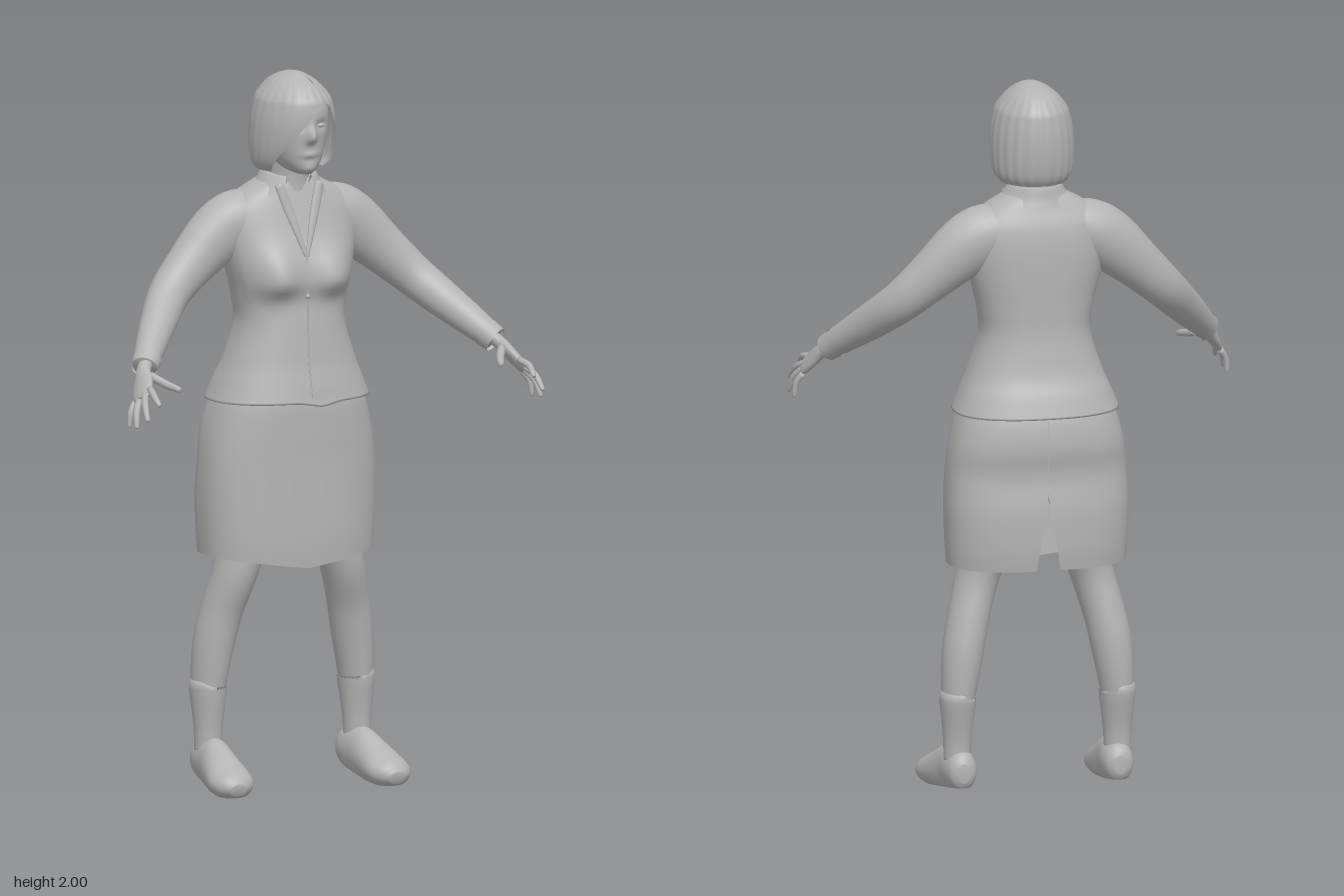
import * as THREE from 'three';

const grey = new THREE.MeshStandardMaterial({ color: 0xb4b4b4, side: THREE.DoubleSide });
grey.name = 'plain grey';
const V = (x, y, z) => new THREE.Vector3(x, y, z);
const bump = (x, y, cx, cy, rx, ry) => Math.exp(-(((x - cx) / rx) ** 2) - ((y - cy) / ry) ** 2);

// Smoothly interpolate every column of a table of sections
function smooth(rows, steps) {
  const out = [], at = i => rows[Math.min(Math.max(i, 0), rows.length - 1)];
  for (let i = 0; i < rows.length - 1; i++)
    for (let k = 0; k < steps; k++) {
      const t = k / steps;
      out.push(rows[i].map((b, c) => {
        const a = at(i - 1)[c], d = at(i + 1)[c], e = at(i + 2)[c];
        return b + 0.5 * t * (d - a + t * (2 * a - 5 * b + 4 * d - e + t * (3 * (b - d) + e - a)));
      }));
    }
  out.push(rows[rows.length - 1]);
  return out;
}

// Skin a list of rings; closed rings wrap round, caps close the ends
function skin(rings, closed = true, caps = true) {
  const n = rings[0].length, pos = [], idx = [];
  rings.forEach(r => r.forEach(p => pos.push(p.x, p.y, p.z)));
  for (let i = 0; i < rings.length - 1; i++)
    for (let j = 0; j < (closed ? n : n - 1); j++) {
      const k = (j + 1) % n, a = i * n + j, b = i * n + k;
      idx.push(a, b, b + n, a, b + n, a + n);
    }
  if (caps) [0, rings.length - 1].forEach((r, end) => {
    const c = V(0, 0, 0);
    rings[r].forEach(p => c.addScaledVector(p, 1 / n));
    const ci = pos.length / 3;
    pos.push(c.x, c.y, c.z);
    for (let j = 0; j < n; j++) {
      const a = r * n + j, b = r * n + (j + 1) % n;
      end ? idx.push(ci, a, b) : idx.push(ci, b, a);
    }
  });
  const g = new THREE.BufferGeometry();
  g.setAttribute('position', new THREE.Float32BufferAttribute(pos, 3));
  g.setIndex(idx);
  g.computeVertexNormals();
  return g;
}

// Horizontal ring; angle runs from the front towards +x
function ring([y, hw, zf, zb], n, p = 2, a0 = 0, a1 = Math.PI * 2, rule = null) {
  const closed = a1 - a0 > 6.283, pts = [];
  const pw = v => Math.sign(v) * Math.abs(v) ** (2 / p);
  for (let j = 0; j < n; j++) {
    const t = a0 + (a1 - a0) * j / (closed ? n : n - 1);
    const v = V(hw * pw(Math.sin(t)), y, (zf + zb) / 2 + (zf - zb) / 2 * pw(Math.cos(t)));
    if (rule) rule(v, t);
    pts.push(v);
  }
  return pts;
}

// Limb along rows of [x, y, z, radius along ref, radius across]
function limb(rows, s, ref, { n = 20, steps = 4, caps = true, rule = null } = {}) {
  const r = smooth(rows, steps), P = r.map(q => V(q[0] * s, q[1], q[2]));
  const rf = V(ref[0] * s, ref[1], ref[2]);
  return skin(r.map((q, i) => {
    const T = P[Math.min(i + 1, r.length - 1)].clone().sub(P[Math.max(i - 1, 0)]).normalize();
    const U = rf.clone().addScaledVector(T, -rf.dot(T)).normalize(), W = T.clone().cross(U);
    return Array.from({ length: n }, (_, j) => {
      const t = j / n * Math.PI * 2;
      const v = P[i].clone().addScaledVector(U, q[3] * Math.cos(t)).addScaledVector(W, q[4] * Math.sin(t));
      if (rule) rule(v);
      return v;
    });
  }), true, caps);
}

export function createModel() {
  const root = new THREE.Group();
  const add = (name, g) => {
    const m = new THREE.Mesh(g, grey);
    m.name = name;
    root.add(m);
    return m;
  };

  // Jacket body: [y, half width, front z, back z]
  const jacket = smooth([
    [1.085, 0.232, 0.055, -0.28], [1.14, 0.21, 0.045, -0.262], [1.2, 0.185, 0.035, -0.238],
    [1.3, 0.155, 0.025, -0.222], [1.38, 0.163, 0.015, -0.22], [1.47, 0.185, 0.012, -0.222],
    [1.55, 0.2, -0.005, -0.22], [1.61, 0.195, -0.02, -0.212], [1.655, 0.155, -0.032, -0.196],
    [1.685, 0.105, -0.04, -0.185], [1.70, 0.07, -0.045, -0.178]], 6);
  add('jacket', skin(jacket.map(r => ring(r, 72, 2.4, 0, Math.PI * 2, v => {
    if (v.z < -0.06) return;
    const ry = v.y < 1.42 ? 0.04 : 0.09;
    v.z += 0.045 * (bump(v.x, v.y, 0.085, 1.42, 0.065, ry) + bump(v.x, v.y, -0.085, 1.42, 0.065, ry));
    if (v.y < 1.11) v.y -= 0.012 * bump(v.x, 0, 0.03, 0, 0.04, 1);
  }))));

  // Skirt: open sheet with a slit at the back
  const skirt = smooth([
    [0.655, 0.25, 0.03, -0.272], [0.72, 0.254, 0.034, -0.279], [0.82, 0.257, 0.034, -0.279],
    [0.92, 0.252, 0.034, -0.268], [1.0, 0.242, 0.036, -0.278], [1.08, 0.22, 0.036, -0.268],
    [1.14, 0.19, 0.025, -0.24]], 5);
  add('skirt', skin(skirt.map(r => {
    const gap = 0.001 + 0.08 * Math.max(0, (0.83 - r[0]) / 0.175), w = Math.max(0, (0.8 - r[0]) / 0.145);
    return ring(r, 73, 2.5, gap - Math.PI, Math.PI - gap, v => {
      if (v.z > -0.12) v.y -= 0.035 * w * Math.max(0, 1 - Math.abs(v.x) / 0.25);
    });
  }), false, false));

  // Neck, collar and lapels
  add('neck', skin(smooth([[1.62, 0.075, -0.03, -0.18], [1.68, 0.058, -0.035, -0.172],
    [1.74, 0.054, -0.03, -0.165], [1.8, 0.056, -0.02, -0.165]], 3).map(r => ring(r, 28))));
  add('collar', skin(smooth([[1.665, 0.118, -0.008, -0.2], [1.69, 0.092, -0.01, -0.192],
    [1.722, 0.07, -0.02, -0.186], [1.70, 0.062, -0.028, -0.178]], 3)
    .map(r => ring(r, 40, 2, 0.55, Math.PI * 2 - 0.55, (v, t) => { v.y -= 0.014 * Math.max(0, Math.cos(t)); })), false, false));
  for (const s of [1, -1])
    add('lapel', limb([[0.062, 1.69, -0.03, 0.007, 0.013], [0.044, 1.63, -0.016, 0.006, 0.014],
      [0.022, 1.56, 0.002, 0.005, 0.01], [0.002, 1.49, 0.018, 0.004, 0.004]], s, [0, 0, 1], { n: 10 }));

  // Head with nose, brow, lips and eye sockets raised by a rule
  const head = smooth([
    [1.722, 0.02, 0.025, -0.05], [1.735, 0.042, 0.036, -0.11], [1.765, 0.065, 0.042, -0.15],
    [1.81, 0.08, 0.046, -0.175], [1.86, 0.087, 0.05, -0.185], [1.91, 0.085, 0.047, -0.18],
    [1.95, 0.066, 0.02, -0.16], [1.975, 0.03, -0.03, -0.11]], 6);
  add('head', skin(head.map(r => ring(r, 96, 2.2, 0, Math.PI * 2, v => {
    if (v.z < -0.02) return;
    const ny = v.y < 1.825 ? 0.012 : 0.032;
    v.z += 0.026 * bump(v.x, v.y, 0, 1.825, 0.013, ny) + 0.007 * bump(v.x, v.y, 0, 1.778, 0.022, 0.007)
      + 0.005 * bump(v.x, v.y, 0, 1.74, 0.02, 0.012) - 0.004 * bump(v.x, v.y, 0, 1.768, 0.025, 0.004);
    for (const e of [1, -1]) v.z -= 0.01 * bump(v.x, v.y, 0.034 * e, 1.86, 0.02, 0.012);
  }))));
  for (const s of [1, -1]) {
    const eye = add('eye', new THREE.SphereGeometry(0.012, 16, 10));
    eye.scale.set(1.1, 0.55, 0.6);
    eye.position.set(0.034 * s, 1.859, 0.036);
  }

  // Bob hair: [y, half width, front z, back z, fringe edge x, side edge x]
  const hair = smooth([
    [1.725, 0.092, 0.0, -0.185, -0.078, 0.088], [1.75, 0.109, 0.028, -0.2, -0.086, 0.1],
    [1.8, 0.115, 0.054, -0.21, -0.068, 0.1], [1.86, 0.113, 0.066, -0.212, -0.026, 0.085],
    [1.91, 0.104, 0.064, -0.206, 0.012, 0.058], [1.935, 0.094, 0.055, -0.198, 0.034, 0.037],
    [1.97, 0.064, 0.02, -0.168, 0.026, 0.0261], [1.992, 0.03, -0.025, -0.118, 0.012, 0.0121],
    [2.0, 0.002, -0.068, -0.072, 0.001, 0.0011]], 5);
  add('hair', skin(hair.map(r => {
    const ang = x => Math.asin(Math.max(-0.98, Math.min(0.98, x / r[1])));
    return ring(r, 90, 2, ang(Math.max(r[5], r[4])), Math.PI * 2 + ang(r[4]) - 1e-4, (v, t) => {
      const k = 1 + 0.01 * Math.sin(t * 23);
      v.x *= k;
      v.z = -0.07 + (v.z + 0.07) * k;
    });
  }), false, false));

  for (const s of [1, -1]) {
    // Sleeve and turned cuff
    add('sleeve', limb([
      [0.08, 1.6, -0.12, 0.075, 0.07], [0.15, 1.582, -0.122, 0.078, 0.086], [0.21, 1.545, -0.122, 0.072, 0.085],
      [0.29, 1.475, -0.112, 0.062, 0.07], [0.37, 1.4, -0.085, 0.056, 0.059], [0.43, 1.34, -0.025, 0.05, 0.053],
      [0.49, 1.28, 0.045, 0.042, 0.044], [0.532, 1.237, 0.098, 0.036, 0.036]], s, [0, 0, 1], { n: 28 }));
    add('cuff', limb([[0.518, 1.251, 0.081, 0.041, 0.041], [0.537, 1.232, 0.104, 0.038, 0.037]],
      s, [0, 0, 1], { caps: false }));

    // Hand: wrist and flat palm, then fingers and thumb
    add('palm', limb([
      [0.525, 1.244, 0.09, 0.022, 0.019], [0.547, 1.222, 0.117, 0.023, 0.018], [0.56, 1.2, 0.145, 0.034, 0.017],
      [0.578, 1.17, 0.178, 0.036, 0.014], [0.585, 1.158, 0.19, 0.026, 0.01]], s, [-0.035, 0.045, 0.055], { n: 18 }));
    const fingers = [
      ['thumb', [0.538, 1.215, 0.14], [0.49, 1.185, 0.237], 0.012],
      ['index finger', [0.564, 1.187, 0.198], [0.572, 1.152, 0.278], 0.01],
      ['middle finger', [0.576, 1.172, 0.192], [0.604, 1.11, 0.268], 0.01],
      ['ring finger', [0.586, 1.159, 0.178], [0.618, 1.085, 0.225], 0.01],
      ['little finger', [0.592, 1.148, 0.16], [0.615, 1.08, 0.172], 0.009]];
    for (const [name, a, b, r] of fingers) {
      const mid = a.map((v, i) => (v + b[i]) / 2 + [0.006, 0.008, 0.003][i] * (name === 'thumb' ? -0.5 : 1));
      const tip = b.map((v, i) => v - (v - mid[i]) * 0.12);
      add(name, limb([[...a, r, r], [...mid, r * 0.95, r * 0.95], [...tip, r * 0.7, r * 0.7],
        [...b, r * 0.2, r * 0.2]], s, [1, 0.3, 0.2], { n: 10, steps: 3 }));
    }

    // Leg, running from ankle to thigh, and sock top
    add('leg', limb([
      [0.228, 0.08, -0.138, 0.036, 0.034], [0.227, 0.16, -0.138, 0.038, 0.036], [0.226, 0.27, -0.142, 0.055, 0.046],
      [0.212, 0.4, -0.136, 0.064, 0.057], [0.192, 0.5, -0.122, 0.066, 0.058], [0.165, 0.6, -0.1, 0.075, 0.06],
      [0.138, 0.7, -0.1, 0.085, 0.068], [0.12, 0.85, -0.11, 0.1, 0.085]], s, [0, 0, 1], { n: 28 }));
    add('sock', limb([
      [0.228, 0.1, -0.138, 0.04, 0.037], [0.227, 0.17, -0.138, 0.042, 0.04],
      [0.226, 0.275, -0.142, 0.059, 0.051], [0.225, 0.285, -0.142, 0.054, 0.047]], s, [0, 0, 1], { n: 28 }));

    // Shoe, running from heel to toe, flattened to a sole that rises at the heel
    add('shoe', limb([
      [0.222, 0.075, -0.203, 0.025, 0.018], [0.222, 0.075, -0.188, 0.05, 0.037], [0.223, 0.075, -0.15, 0.062, 0.046],
      [0.226, 0.07, -0.1, 0.072, 0.048], [0.232, 0.055, -0.04, 0.062, 0.056], [0.239, 0.038, 0.03, 0.046, 0.064],
      [0.242, 0.03, 0.07, 0.036, 0.052], [0.243, 0.024, 0.093, 0.016, 0.024]], s, [0, 1, 0],
    { n: 28, rule: v => { v.y = Math.max(v.y, 0, (0.02 - v.z) * 0.15); } }));
  }

  // Jacket button and front seam
  const button = add('button', new THREE.SphereGeometry(0.007, 12, 8));
  button.position.set(0, 1.38, 0.026);
  add('front seam', limb([[0, 1.1, 0.052, 0.002, 0.003], [0, 1.2, 0.036, 0.002, 0.003],
    [0, 1.3, 0.026, 0.002, 0.003], [0, 1.38, 0.026, 0.002, 0.003], [0, 1.49, 0.02, 0.002, 0.003]], 1, [0, 0, 1], { n: 6 }));
  return root;
}
